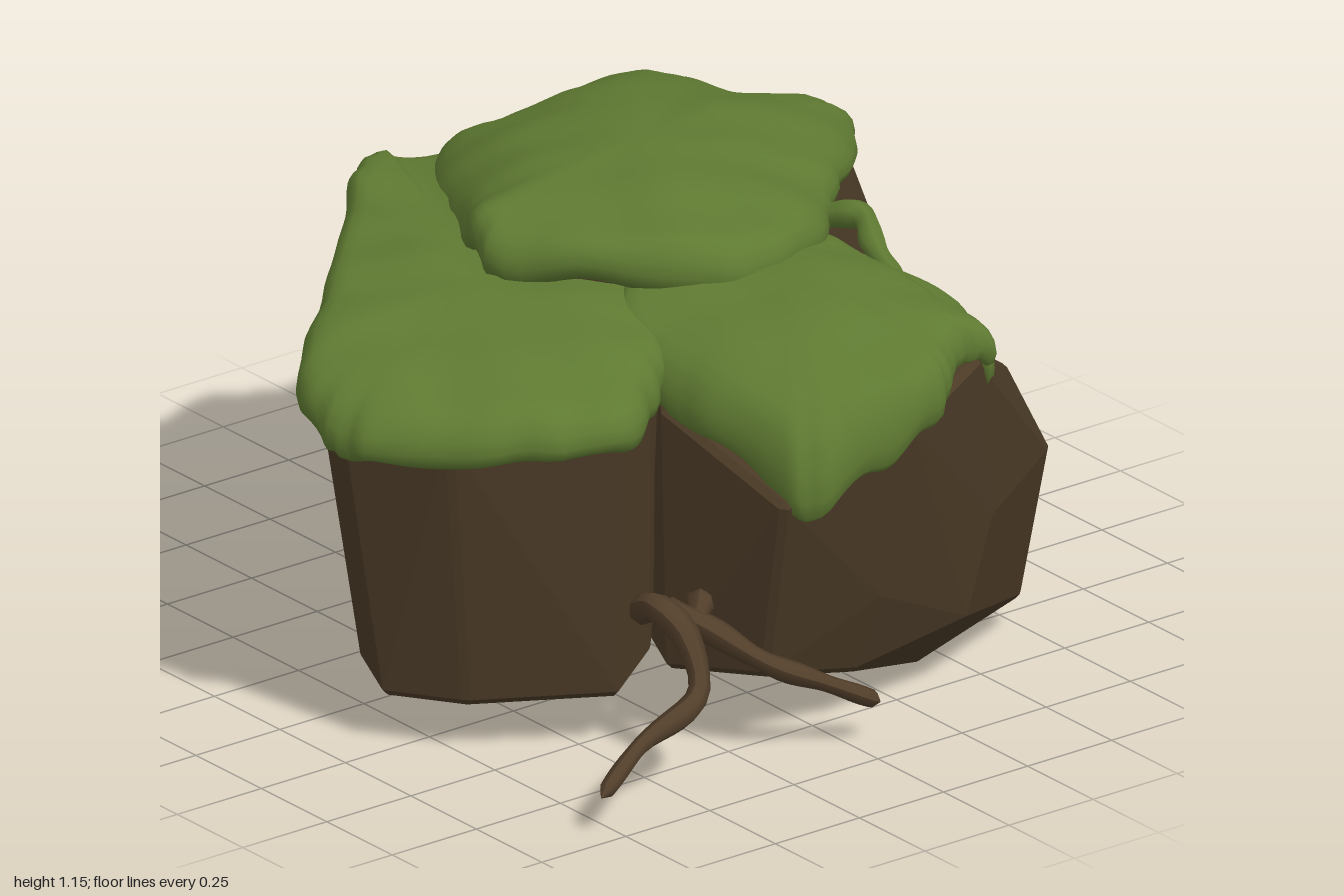
import * as THREE from 'three';
import { ConvexGeometry } from 'three/addons/geometries/ConvexGeometry.js';

const mossMat = new THREE.MeshStandardMaterial({ color: 0x5f7a32 });
mossMat.name = 'moss green';
const rockMat = new THREE.MeshStandardMaterial({ color: 0x4a3a26 });
rockMat.name = 'earth brown';
const rootMat = new THREE.MeshStandardMaterial({ color: 0x513e2a });
rootMat.name = 'root brown';

const V = (p) => new THREE.Vector3(...p);

// Convex boulder; each corner is spread a little so that edges are bevelled
function rock(name, corners, r = 0.016) {
  const pts = [];
  for (const [x, y, z] of corners) {
    for (const s of [-r, r]) pts.push(V([x + s, y, z]), V([x, y + s, z]), V([x, y, z + s]));
  }
  const mesh = new THREE.Mesh(new ConvexGeometry(pts), rockMat);
  mesh.name = name;
  return mesh;
}

// Gentle bumps from a few sines
const bump = (x, z) =>
  0.5 * Math.sin(9 * x + 4 * z) * Math.cos(8 * z - 3 * x) + 0.5 * Math.sin(17 * x - 6 * z + 1) * Math.sin(15 * z + 5 * x);

// Moss blanket: rings grow from the centre to the outline, then roll over the rim.
// The outline runs clockwise seen from above; an optional 4th number is the rim depth.
function moss(name, centre, outline) {
  const N = 120;
  const c = V(centre);
  const curve = new THREE.CatmullRomCurve3(outline.map(V), true, 'centripetal');
  const depths = outline.map((p) => p[3] ?? 0.12);
  const rings = [
    [0.12, 0], [0.25, 0], [0.38, 0], [0.5, 0], [0.62, 0], [0.74, 0], [0.84, 0], [0.91, 0.03],
    [0.96, 0.15], [0.99, 0.35], [1, 0.6], [0.985, 0.85], [0.95, 1], [0.9, 0.95], [0.8, 0.6],
  ];
  const pos = [c.x, c.y, c.z];
  const idx = [];
  rings.forEach(([t, d], k) => {
    for (let i = 0; i < N; i++) {
      const u = (i / N) * outline.length;
      const a = Math.floor(u);
      const depth = THREE.MathUtils.lerp(depths[a], depths[(a + 1) % depths.length], u - a);
      const e = curve.getPoint(i / N);
      const wob = t * (1 + 0.01 * t ** 4 * Math.sin(i * 0.9 + 2 * Math.sin(i * 0.37)));
      const x = c.x + (e.x - c.x) * wob;
      const z = c.z + (e.z - c.z) * wob;
      const ragged = 1 + 0.08 * Math.sin(i * 0.55 + Math.sin(i * 0.21) * 2);
      const y = THREE.MathUtils.lerp(c.y, e.y, t * t) + 0.016 * bump(x, z) * Math.min(1, t * 3) - d * depth * ragged;
      pos.push(x, y, z);
      const j = (i + 1) % N;
      const cur = 1 + k * N;
      if (k === 0) idx.push(0, cur + j, cur + i);
      else {
        const pre = cur - N;
        idx.push(pre + i, pre + j, cur + i, pre + j, cur + j, cur + i);
      }
    }
  });
  const g = new THREE.BufferGeometry();
  g.setAttribute('position', new THREE.Float32BufferAttribute(pos, 3));
  g.setIndex(idx);
  g.computeVertexNormals();
  const mesh = new THREE.Mesh(g, mossMat);
  mesh.name = name;
  return mesh;
}

// Slightly knobbly tapered tube with closed ends
function twig(name, pts, r0, r1, mat) {
  const S = 24, R = 7;
  const curve = new THREE.CatmullRomCurve3(pts.map(V), false, 'centripetal');
  const g = new THREE.TubeGeometry(curve, S, 1, R, false);
  const p = g.attributes.position;
  for (let i = 0; i < p.count; i++) {
    const k = Math.floor(i / (R + 1));
    const c = curve.getPointAt(k / S);
    const end = k === 0 || k === S ? 0.02 : 1;
    const r = end * THREE.MathUtils.lerp(r0, r1, k / S) * (1 + 0.12 * Math.sin(k * 0.8));
    const v = new THREE.Vector3().fromBufferAttribute(p, i).sub(c).multiplyScalar(r).add(c);
    p.setXYZ(i, v.x, v.y, v.z);
  }
  g.computeVertexNormals();
  const mesh = new THREE.Mesh(g, mat);
  mesh.name = name;
  return mesh;
}

export function createModel() {
  const model = new THREE.Group();
  model.name = 'mossyRocks';

  // Boulders
  model.add(
    rock('sideRock', [
      [-0.95, 0.82, 0.2], [-0.87, 0.84, 0], [-0.55, 0.88, -0.28], [0.08, 0.69, -0.95], [0.25, 0.72, -0.84],
      [0.1, 0.85, 0.1], [-0.3, 0.84, 0.5], [-0.46, 0.81, 0.61], [-0.82, 0.82, 0.42],
      [-0.85, 0.14, 0.22], [-0.76, 0.14, 0.02], [-0.74, 0.14, 0.38], [-0.45, 0.15, 0.57], [-0.28, 0.18, 0.47],
      [0.09, 0.3, -0.97], [0.25, 0.3, -0.84], [0.1, 0.2, -0.1],
    ]),
    rock('mainRock', [
      [-0.33, 1.03, 0], [0.08, 1.03, 0.37], [0.4, 1, 0.2], [0.56, 0.98, 0.06], [0.77, 0.94, -0.11], [0.94, 0.87, -0.41],
      [0.84, 0.85, -0.7], [0.66, 0.84, -0.86], [0.34, 0.86, -0.83], [0.945, 0.6, -0.18], [0.65, 0.32, 0.24],
      [0.62, 0.21, 0.25], [0.86, 0.11, -0.15], [0.43, 0.016, -0.885],
      [0.42, 0.42, -0.98], [0.65, 0.42, -0.89], [0.1, 0.18, 0.28], [-0.15, 0.3, 0], [0.12, 0.12, -0.6],
    ]),
    rock('frontRock', [
      [-0.2, 0.66, 0.9], [-0.24, 0.78, 0.5], [-0.25, 0.3, 0.55], [-0.27, 0.17, 0.56], [-0.17, 0.2, 0.79],
      [0.08, 0.15, 0.8], [0.35, 0.07, 0.7], [0.72, 0.1, 0.6], [0.755, 0.48, 0.66], [0.68, 0.68, 0.6],
      [0.64, 0.7, 0.2], [0.6, 0.2, 0.2], [0.4, 0.86, 0.86], [0.14, 0.78, 0.94], [0.1, 0.35, 0.87],
      [0.38, 0.88, 0.4], [-0.1, 0.9, 0.3], [0.46, 0.45, 0.83], [0.4, 0.2, 0.81], [-0.15, 0.17, 0.3], [0.15, 0.14, 0],
    ]),
  );

  // Moss on top of each boulder
  model.add(
    moss('sideMoss', [-0.4, 0.99, 0], [
      [-1, 0.88, 0.2], [-0.975, 0.9, 0.06], [-0.91, 0.93, -0.05], [-0.62, 0.96, -0.32], [-0.34, 0.98, -0.61],
      [-0.17, 0.97, -0.79], [0, 0.93, -0.92, 0.16], [0.11, 0.86, -1, 0.22], [0.27, 0.88, -0.86, 0.14],
      [0.25, 0.98, -0.66], [0.22, 1.06, -0.4],
      [0.12, 0.97, 0.1], [-0.2, 0.94, 0.46], [-0.33, 0.92, 0.57], [-0.47, 0.9, 0.66], [-0.63, 0.89, 0.61],
      [-0.84, 0.88, 0.47], [-0.97, 0.88, 0.33],
    ]),
    moss('mainMoss', [0.18, 1.145, -0.15], [
      [-0.37, 1.1, 0], [-0.34, 1.11, -0.12], [-0.25, 1.05, -0.27], [-0.12, 0.96, -0.52], [0, 0.93, -0.72],
      [0.14, 0.91, -0.86, 0.1], [0.31, 0.93, -0.85, 0.09],
      [0.5, 0.92, -0.88, 0.09], [0.71, 0.91, -0.91, 0.09], [0.82, 0.91, -0.8, 0.09], [0.88, 0.92, -0.63, 0.09],
      [0.99, 0.93, -0.43, 0.09], [0.94, 0.96, -0.29, 0.09], [0.8, 1, -0.11, 0.09], [0.62, 1.04, 0.06, 0.09],
      [0.47, 1.06, 0.21, 0.09], [0.33, 1.08, 0.36], [0.12, 1.09, 0.43], [-0.06, 1.1, 0.37], [-0.22, 1.1, 0.2],
    ]),
    moss('frontMoss', [0.14, 1.03, 0.5], [
      [-0.26, 0.9, 0.5], [-0.24, 0.95, 0.3], [0, 1.02, 0.1], [0.3, 1.02, 0.1], [0.42, 1, 0.27], [0.43, 0.98, 0.48],
      [0.43, 0.97, 0.7], [0.44, 0.94, 0.89, 0.1], [0.36, 0.96, 0.88, 0.1],
      [0.29, 0.95, 0.92], [0.2, 0.95, 0.99, 0.15], [0.02, 0.88, 0.98, 0.19], [-0.17, 0.8, 0.95, 0.19],
      [-0.22, 0.84, 0.78, 0.14],
    ]),
    moss('frontMossLobe', [0.54, 0.87, 0.42], [
      [0.35, 0.91, 0.45], [0.4, 0.89, 0.2], [0.6, 0.84, 0.1], [0.67, 0.8, 0.28], [0.7, 0.77, 0.42],
      [0.62, 0.8, 0.62], [0.52, 0.87, 0.77], [0.43, 0.92, 0.87], [0.36, 0.92, 0.7],
    ]),
    twig('mossRidge', [[0.41, 0.95, 0.55], [0.44, 1, 0.42], [0.48, 1.03, 0.32], [0.43, 1, 0.2]], 0.025, 0.035, mossMat),
  );

  // Roots at the front
  model.add(
    twig('longRoot', [
      [-0.8, 0.1, 0.97], [-0.62, 0.16, 0.89], [-0.41, 0.22, 0.84], [-0.38, 0.33, 0.75], [-0.4, 0.38, 0.68], [-0.36, 0.32, 0.55],
    ], 0.018, 0.04, rootMat),
    twig('frontRoot', [
      [0.07, 0.1, 0.92], [-0.08, 0.18, 0.89], [-0.2, 0.24, 0.84], [-0.31, 0.33, 0.72], [-0.39, 0.38, 0.66],
    ], 0.02, 0.035, rootMat),
    twig('rootFork', [[-0.33, 0.32, 0.72], [-0.27, 0.36, 0.67], [-0.22, 0.32, 0.58]], 0.03, 0.03, rootMat),
  );
  return model;
}
